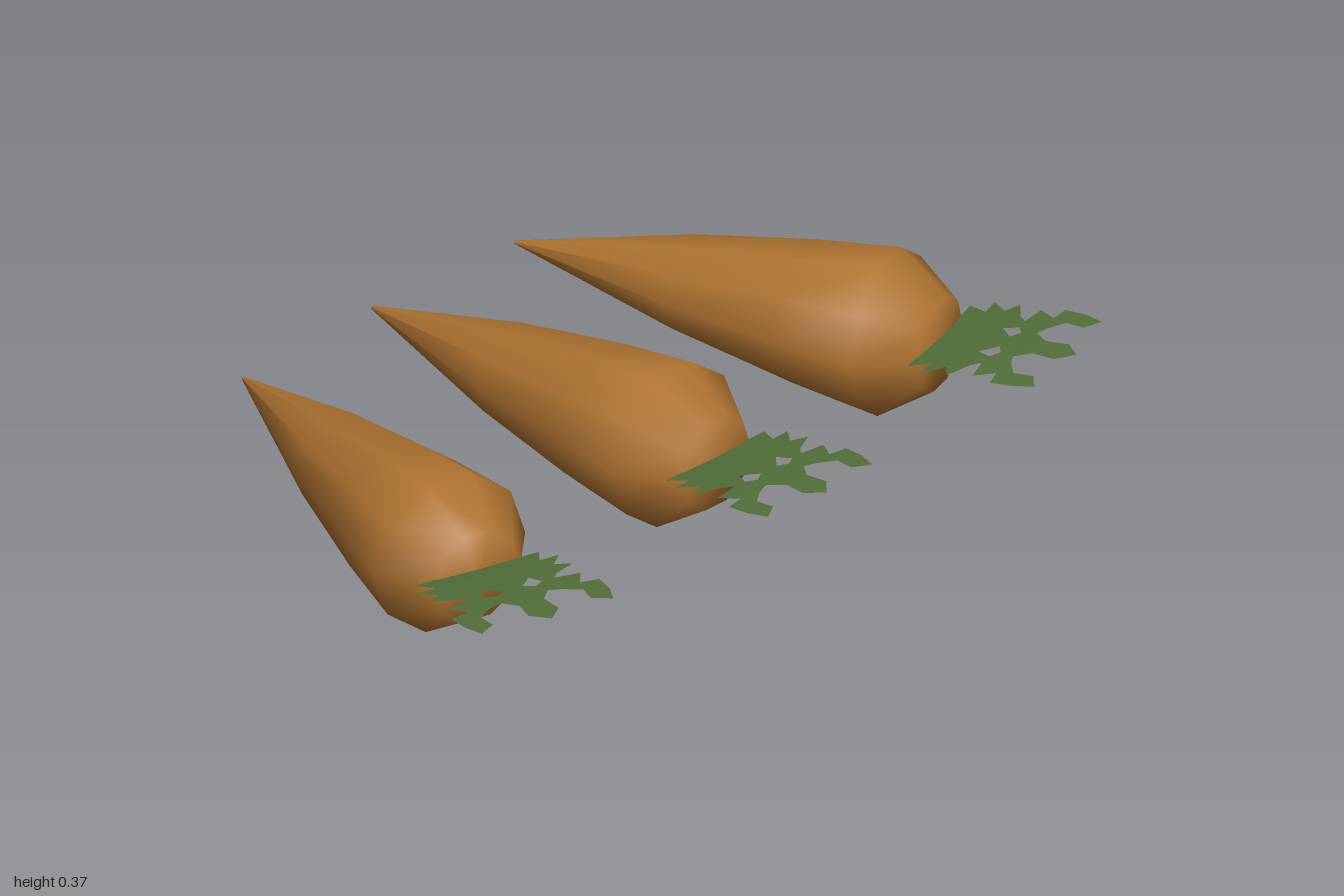
import * as THREE from 'three';

const orange = new THREE.MeshStandardMaterial({ color: 0xb07432 });
orange.name = 'carrotOrange';
const green = new THREE.MeshStandardMaterial({ color: 0x53703a, side: THREE.DoubleSide });
green.name = 'leafGreen';

// Ten-sided tapering root, origin at the centre of its widest ring
function rootGeometry() {
  const profile = [
    [0.004, -0.925], [0.112, -0.5], [0.165, -0.21], [0.193, 0], [0.11, 0.125], [0, 0.13],
  ].map(([r, y]) => new THREE.Vector2(r, y));
  return new THREE.LatheGeometry(profile, 10, Math.PI / 10).rotateX(Math.PI / 2);
}

// Flat jagged leaf with small gaps, curving gently upward toward its end
function leafGeometry() {
  const half = [
    [0.158, 0.122], [0.132, 0.172], [0.184, 0.168], [0.145, 0.212], [0.182, 0.232],
    [0.125, 0.262], [0.108, 0.282], [0.17, 0.29], [0.142, 0.335], [0.188, 0.342],
    [0.184, 0.395], [0.167, 0.442], [0.125, 0.418], [0.13, 0.372], [0.09, 0.345],
    [0.06, 0.335], [0.032, 0.37], [0.038, 0.425],
  ];
  const outline = [...half, [0, 0.462], ...half.map(([x, z]) => [-x, z]).reverse()];
  const shape = new THREE.Shape(outline.map(([x, z]) => new THREE.Vector2(x, -z)));
  for (const s of [-1, 1]) {
    const gap = [[0.025, 0.285], [0.06, 0.25], [0.075, 0.285], [0.05, 0.3]];
    shape.holes.push(new THREE.Path(gap.map(([x, z]) => new THREE.Vector2(s * x, -z))));
  }
  const geo = new THREE.ShapeGeometry(shape).rotateX(-Math.PI / 2);
  const pos = geo.attributes.position;
  for (let i = 0; i < pos.count; i++) {
    const t = (pos.getZ(i) - 0.122) / 0.34;
    pos.setY(i, 0.021 + 0.033 * t * (2 - t) - 0.004 * Math.abs(pos.getX(i)) / 0.19);
  }
  geo.computeVertexNormals();
  return geo;
}

export function createModel() {
  const model = new THREE.Group();
  model.name = 'carrots';
  const rootGeo = rootGeometry();
  const leafGeo = leafGeometry();
  const tilt = THREE.MathUtils.degToRad(17);

  // Middle carrot straight, outer two with tips turned inward
  for (const [name, side] of [['rightCarrot', -1], ['middleCarrot', 0], ['leftCarrot', 1]]) {
    const carrot = new THREE.Group();
    carrot.name = name;
    const root = new THREE.Mesh(rootGeo, orange);
    root.name = 'root';
    const leaf = new THREE.Mesh(leafGeo, green);
    leaf.name = 'leaf';
    carrot.add(root, leaf);
    carrot.position.set(side * 0.706, 0.184, side ? 0.212 : 0.23);
    carrot.rotation.y = side * tilt;
    model.add(carrot);
  }
  return model;
}
